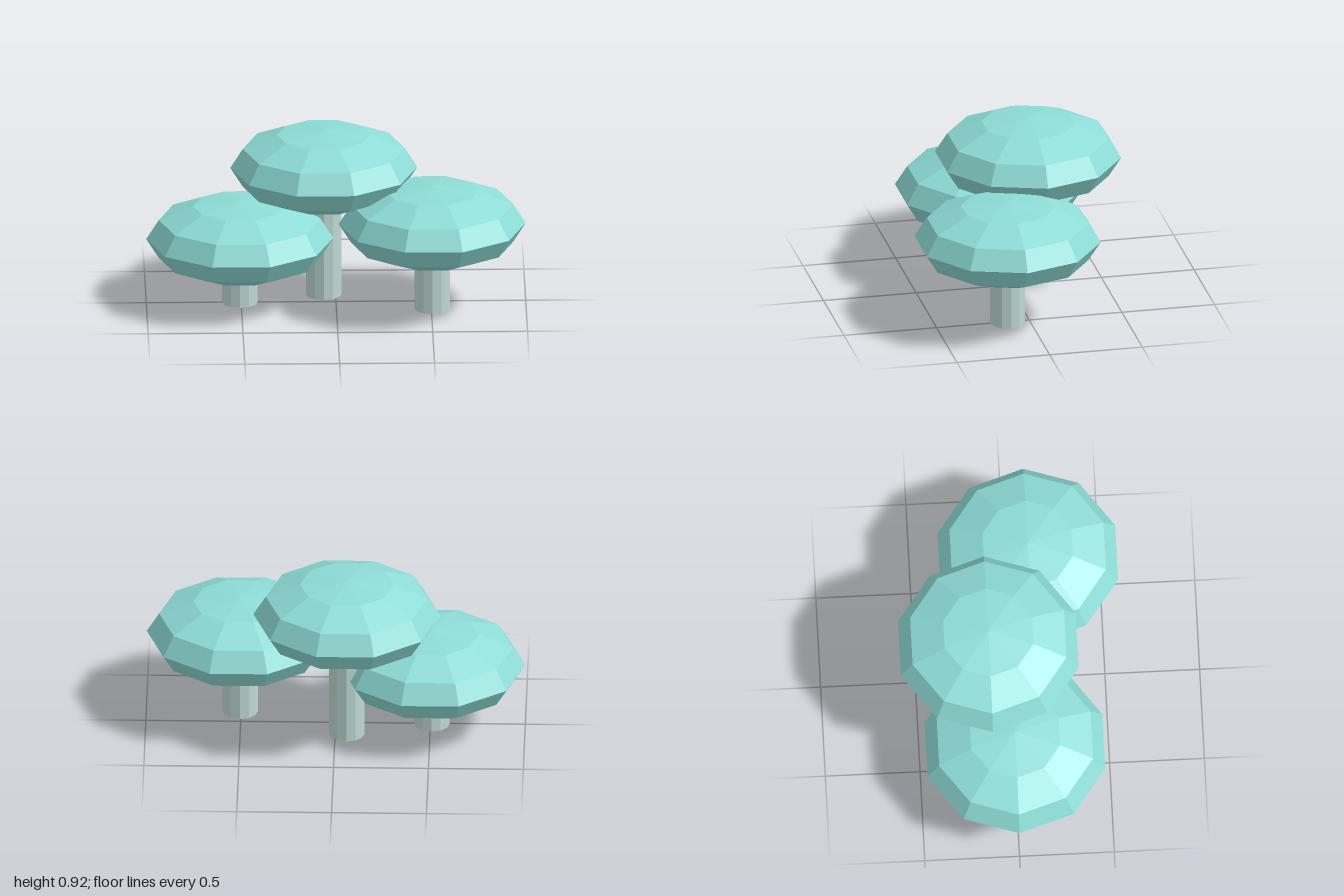
import * as THREE from 'three';

const CAP_RADIUS = 0.493, CAP_HALF_HEIGHT = 0.21, STEM_RADIUS = 0.094;

export function createModel() {
  const capMaterial = new THREE.MeshStandardMaterial({ color: 0x8edcd6, flatShading: true });
  capMaterial.name = 'turquoise cap';
  const stemMaterial = new THREE.MeshStandardMaterial({ color: 0xc0dad5, flatShading: true });
  stemMaterial.name = 'pale stem';

  // Flattened ten-sided ball shared by all the caps
  const capGeometry = new THREE.SphereGeometry(1, 10, 6);
  capGeometry.scale(CAP_RADIUS, CAP_HALF_HEIGHT, CAP_RADIUS);

  // Stem stands on the ground and ends inside its cap
  function mushroom(name, x, z, capY) {
    const group = new THREE.Group();
    group.name = name;
    group.position.set(x, 0, z);

    const cap = new THREE.Mesh(capGeometry, capMaterial);
    cap.name = 'cap';
    cap.position.y = capY;

    const stem = new THREE.Mesh(
      new THREE.CylinderGeometry(STEM_RADIUS, STEM_RADIUS, capY, 12), stemMaterial);
    stem.name = 'stem';
    stem.position.y = capY / 2;

    group.add(cap, stem);
    return group;
  }

  const model = new THREE.Group();
  model.name = 'mushroomCluster';
  model.add(
    mushroom('shortMushroom', -0.507, 0, 0.355),
    mushroom('tallMushroom', -0.062, -0.118, 0.708),
    mushroom('mediumMushroom', 0.505, 0.118, 0.473),
  );
  return model;
}
